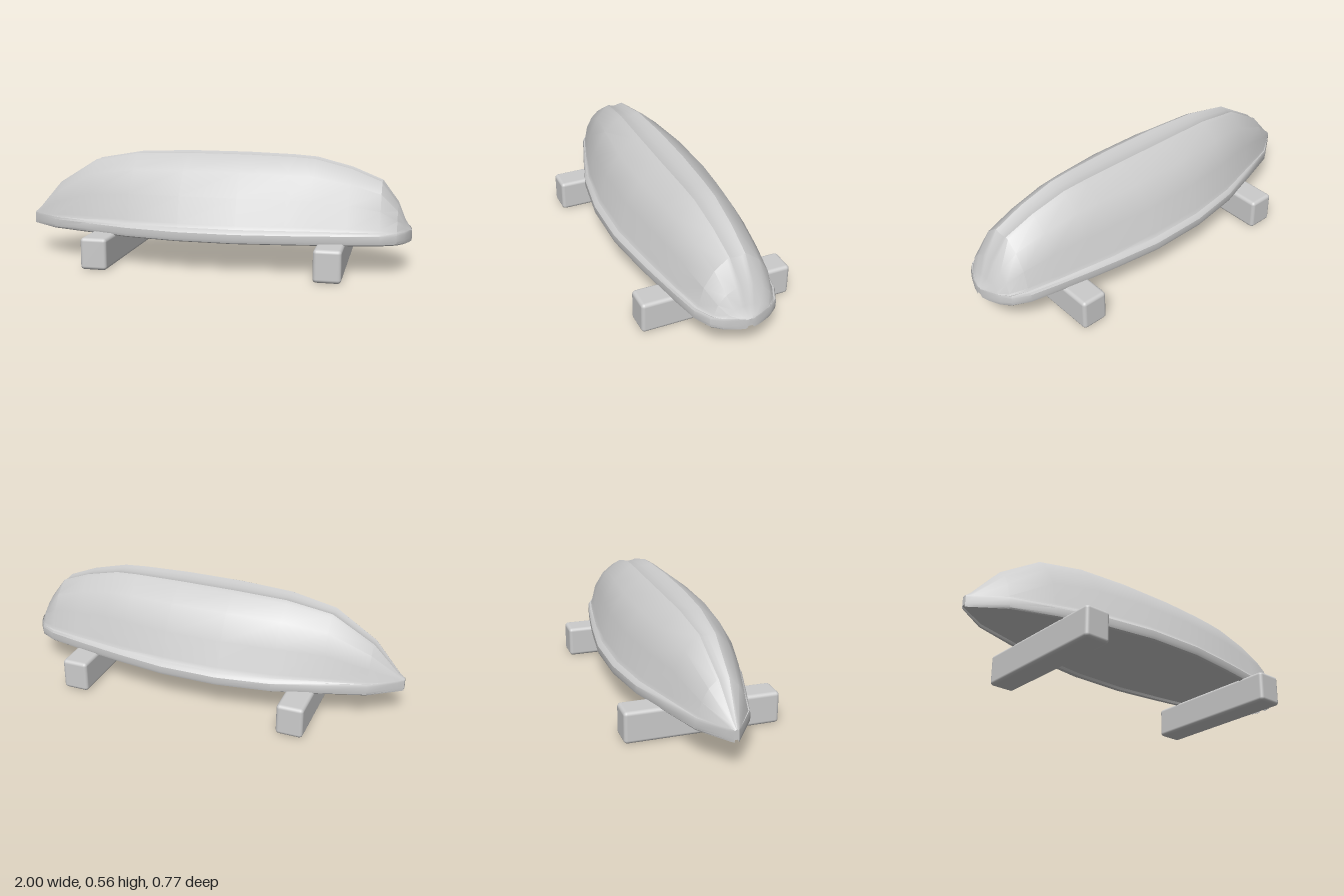
import * as THREE from 'three';
import { toCreasedNormals } from 'three/addons/utils/BufferGeometryUtils.js';
import { RoundedBoxGeometry } from 'three/addons/geometries/RoundedBoxGeometry.js';

// Hull stations: [x, half width at the gunwale, height of the keel]
const STATIONS = [
  [-1, 0.012, 0.21], [-0.97, 0.035, 0.235], [-0.84, 0.13, 0.38], [-0.63, 0.2, 0.51],
  [-0.4, 0.272, 0.55], [-0.13, 0.315, 0.559], [0.16, 0.318, 0.559], [0.4, 0.287, 0.553],
  [0.52, 0.268, 0.545], [0.7, 0.236, 0.5], [0.85, 0.205, 0.44], [0.93, 0.165, 0.335],
  [0.965, 0.12, 0.25], [0.99, 0.06, 0.21], [1, 0.02, 0.2],
];
// Half section from keel to gunwale: [share of half width, share of height]
const SIDE = [[0, 0.97], [0.11, 0.98], [0.19, 1], [0.26, 0.97], [0.54, 0.78], [0.78, 0.46], [0.885, 0.1], [0.92, 0.05]];
// Rounded gunwale and recessed underside: [share of half width, y]
const RIM = [[0.965, 0.209], [0.995, 0.198], [1, 0.17], [0.985, 0.156], [0.95, 0.15], [0.88, 0.15], [0.86, 0.162], [0, 0.162]];

// Full closed section: +z half, then its mirror
function section([x, w, top]) {
  const rimTop = Math.min(0.2, top - 0.005);
  const half = [
    ...SIDE.map(([f, h]) => [f * w, rimTop + h * (top - rimTop)]),
    ...RIM.map(([f, y]) => [f * w, Math.min(y, top)]),
  ];
  const mirror = half.slice(1, -1).reverse().map(([z, y]) => [-z, y]);
  return [...half, ...mirror].map(([z, y]) => [x, y, z]);
}

// Skin the sections and close both ends
function hullGeometry() {
  const rings = STATIONS.map(section);
  const n = rings[0].length;
  const pos = rings.flat(2);
  const index = [];
  for (let i = 0; i < rings.length - 1; i++) {
    for (let j = 0; j < n; j++) {
      const k = (j + 1) % n;
      const a = i * n + j, c = i * n + k, b = a + n, d = c + n;
      index.push(a, c, b, b, c, d);
    }
  }
  const last = rings.length - 1;
  for (const r of [0, last]) {
    const centre = pos.length / 3;
    pos.push(STATIONS[r][0], 0.18, 0);
    for (let j = 0; j < n; j++) {
      const p = r * n + j, q = r * n + (j + 1) % n;
      if (r === last) index.push(centre, p, q);
      else index.push(centre, q, p);
    }
  }
  const g = new THREE.BufferGeometry();
  g.setAttribute('position', new THREE.Float32BufferAttribute(pos, 3));
  g.setIndex(index);
  return toCreasedNormals(g, 0.45);
}

export function createModel() {
  const group = new THREE.Group();
  group.name = 'upturnedBoat';
  const grey = new THREE.MeshStandardMaterial({ color: 0xcccccc });
  grey.name = 'light grey';

  const hull = new THREE.Mesh(hullGeometry(), grey);
  hull.name = 'hull';
  group.add(hull);

  // Two support beams across the boat
  for (const [name, x] of [['bowSupport', -0.535], ['sternSupport', 0.62]]) {
    const beam = new THREE.Mesh(new RoundedBoxGeometry(0.135, 0.16, 0.77, 3, 0.018), grey);
    beam.name = name;
    beam.position.set(x, 0.08, 0);
    group.add(beam);
  }
  return group;
}
